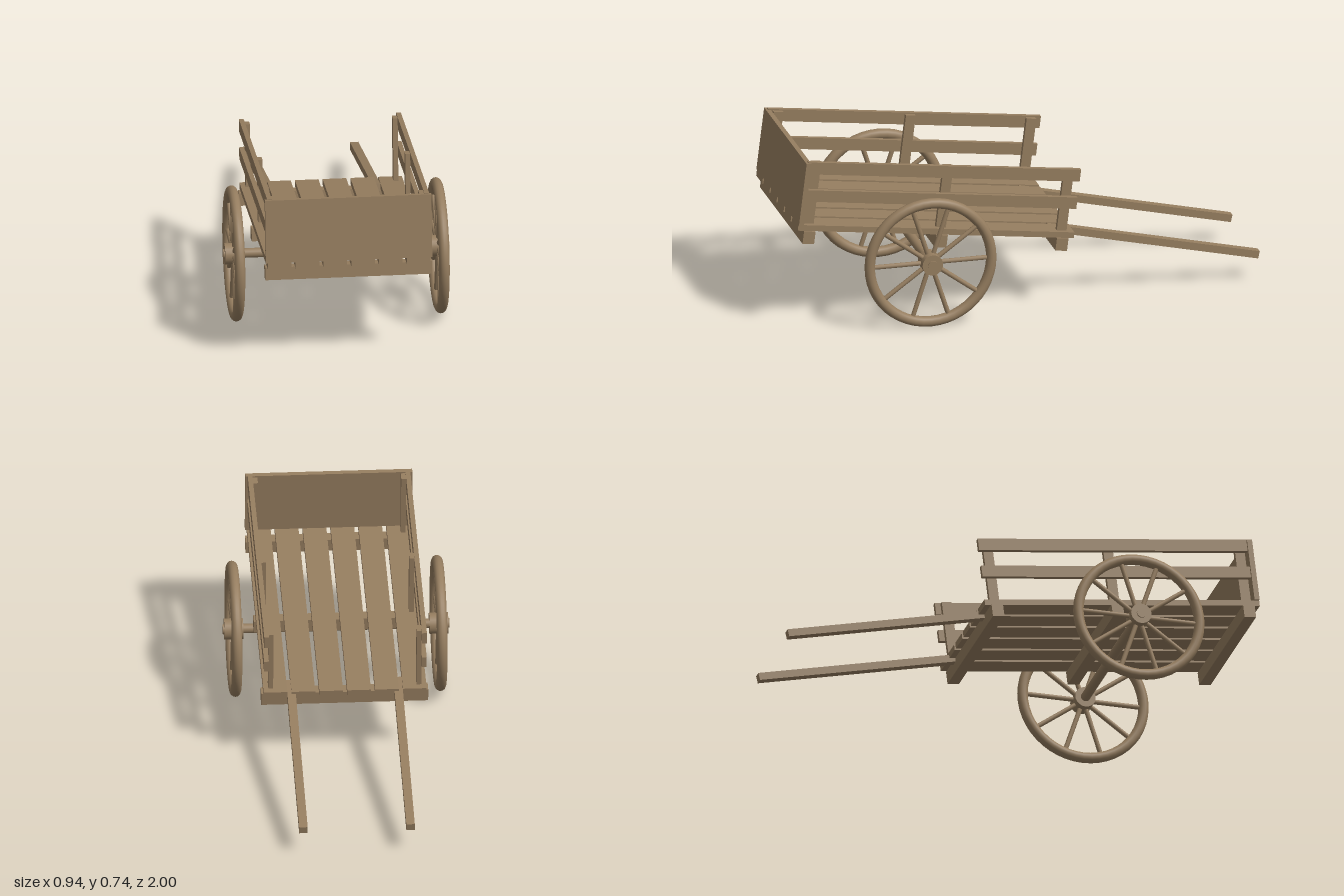
import * as THREE from 'three';

export function createModel() {
  const cart = new THREE.Group();
  cart.name = 'handCart';
  const wood = new THREE.MeshStandardMaterial({ color: 0x957d5f });
  wood.name = 'weathered wood';

  const add = (parent, name, geometry, x = 0, y = 0, z = 0) => {
    const mesh = new THREE.Mesh(geometry, wood);
    mesh.name = name;
    mesh.position.set(x, y, z);
    parent.add(mesh);
    return mesh;
  };
  // Box given by its min and max along each axis
  const block = (parent, name, [x0, x1], [y0, y1], [z0, z1]) =>
    add(parent, name, new THREE.BoxGeometry(x1 - x0, y1 - y0, z1 - z0),
      (x0 + x1) / 2, (y0 + y1) / 2, (z0 + z1) / 2);

  // Tilted body; origin at the centre of the middle cross beam
  const body = new THREE.Group();
  body.name = 'body';
  body.position.set(0, 0.342, 0.39);
  body.rotation.x = -THREE.MathUtils.degToRad(7);
  cart.add(body);

  // Floor planks
  const pitch = 0.1155;
  for (let i = 0; i < 6; i++) {
    const x = (i - 2.5) * pitch;
    block(body, 'floorPlank', [x - 0.049, x + 0.049], [0.027, 0.052], [-0.57, 0.62]);
  }

  // Cross beams under the floor, with a post above each end
  const beams = [-0.52, 0, 0.57];
  for (const z of beams) {
    block(body, 'crossBeam', [-0.346, 0.346], [-0.027, 0.027], [z - 0.025, z + 0.025]);
  }
  for (const side of [-1, 1]) {
    const span = (a, b) => (side > 0 ? [a, b] : [-b, -a]);
    for (const z of beams) {
      block(body, 'sidePost', span(0.297, 0.317), [0.027, 0.322], [z - 0.021, z + 0.021]);
    }
    // Side rails
    block(body, 'lowerRail', span(0.317, 0.337), [0.155, 0.205], [-0.565, 0.6]);
    block(body, 'upperRail', span(0.317, 0.337), [0.275, 0.327], [-0.565, 0.61]);
  }

  // End board
  block(body, 'endBoard', [-0.346, 0.346], [0.052, 0.323], [0.598, 0.62]);

  // Pulling shafts, sloping down to the rear
  const top = new THREE.Vector3(0, 0.318, -0.09);
  const tip = new THREE.Vector3(0, 0.112, -0.997);
  for (const side of [-1, 1]) {
    const shaft = add(cart, 'shaft', new THREE.BoxGeometry(0.035, 0.032, top.distanceTo(tip)),
      side * 0.222, (top.y + tip.y) / 2, (top.z + tip.z) / 2);
    shaft.rotation.x = -Math.atan2(top.y - tip.y, top.z - tip.z);
  }

  // Axle and wheels
  const running = new THREE.Group();
  running.name = 'runningGear';
  running.position.set(0, 0.2845, 0.457);
  cart.add(running);
  add(running, 'axle', new THREE.CylinderGeometry(0.02, 0.02, 0.94, 20)).rotation.z = Math.PI / 2;

  const spokes = 10;
  for (const side of [-1, 1]) {
    const wheel = new THREE.Group();
    wheel.name = side > 0 ? 'leftWheel' : 'rightWheel';
    wheel.position.x = side * 0.425;
    running.add(wheel);
    add(wheel, 'rim', new THREE.TorusGeometry(0.26, 0.022, 14, 48)).rotation.y = Math.PI / 2;
    add(wheel, 'hub', new THREE.CylinderGeometry(0.044, 0.044, 0.078, 24)).rotation.z = Math.PI / 2;
    for (let i = 0; i < spokes; i++) {
      const a = (i / spokes) * Math.PI * 2;
      const spoke = add(wheel, 'spoke', new THREE.CylinderGeometry(0.01, 0.01, 0.22, 10),
        0, Math.sin(a) * 0.145, Math.cos(a) * 0.145);
      spoke.rotation.x = Math.PI / 2 - a;
    }
  }

  return cart;
}
